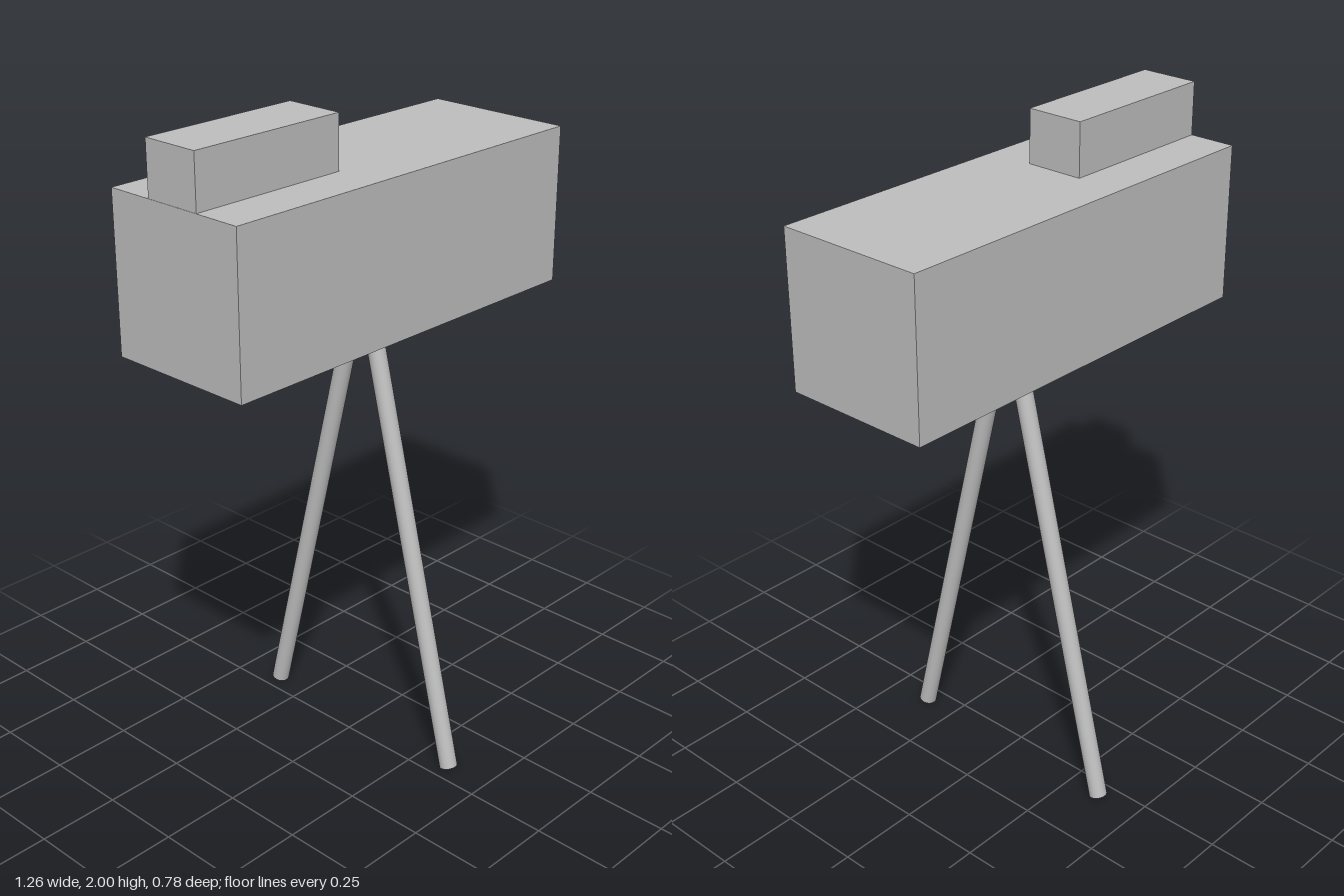
import * as THREE from 'three';

export function createModel() {
  const model = new THREE.Group();
  const grey = new THREE.MeshStandardMaterial({ color: 0xc0c0c0 });
  grey.name = 'light grey';

  const addBox = (name, size, position) => {
    const mesh = new THREE.Mesh(new THREE.BoxGeometry(...size), grey);
    mesh.name = name;
    mesh.position.set(...position);
    model.add(mesh);
  };

  // Main housing with a smaller block on its top, flush with the right end
  addBox('housing', [1.262, 0.463, 0.462], [0, 1.6125, 0]);
  addBox('topBlock', [0.498, 0.157, 0.178], [-0.381, 1.9215, 0]);

  // Two round legs spreading to front and back
  const up = new THREE.Vector3(0, 1, 0);
  for (const side of [1, -1]) {
    const foot = new THREE.Vector3(0.055, 0.0065, 0.362 * side);
    const top = new THREE.Vector3(0.055, 1.39, 0.028 * side);
    const axis = top.clone().sub(foot);
    const leg = new THREE.Mesh(new THREE.CylinderGeometry(0.027, 0.027, axis.length(), 32), grey);
    leg.name = side > 0 ? 'frontLeg' : 'backLeg';
    leg.position.copy(foot).add(top).multiplyScalar(0.5);
    leg.quaternion.setFromUnitVectors(up, axis.normalize());
    model.add(leg);
  }

  return model;
}
